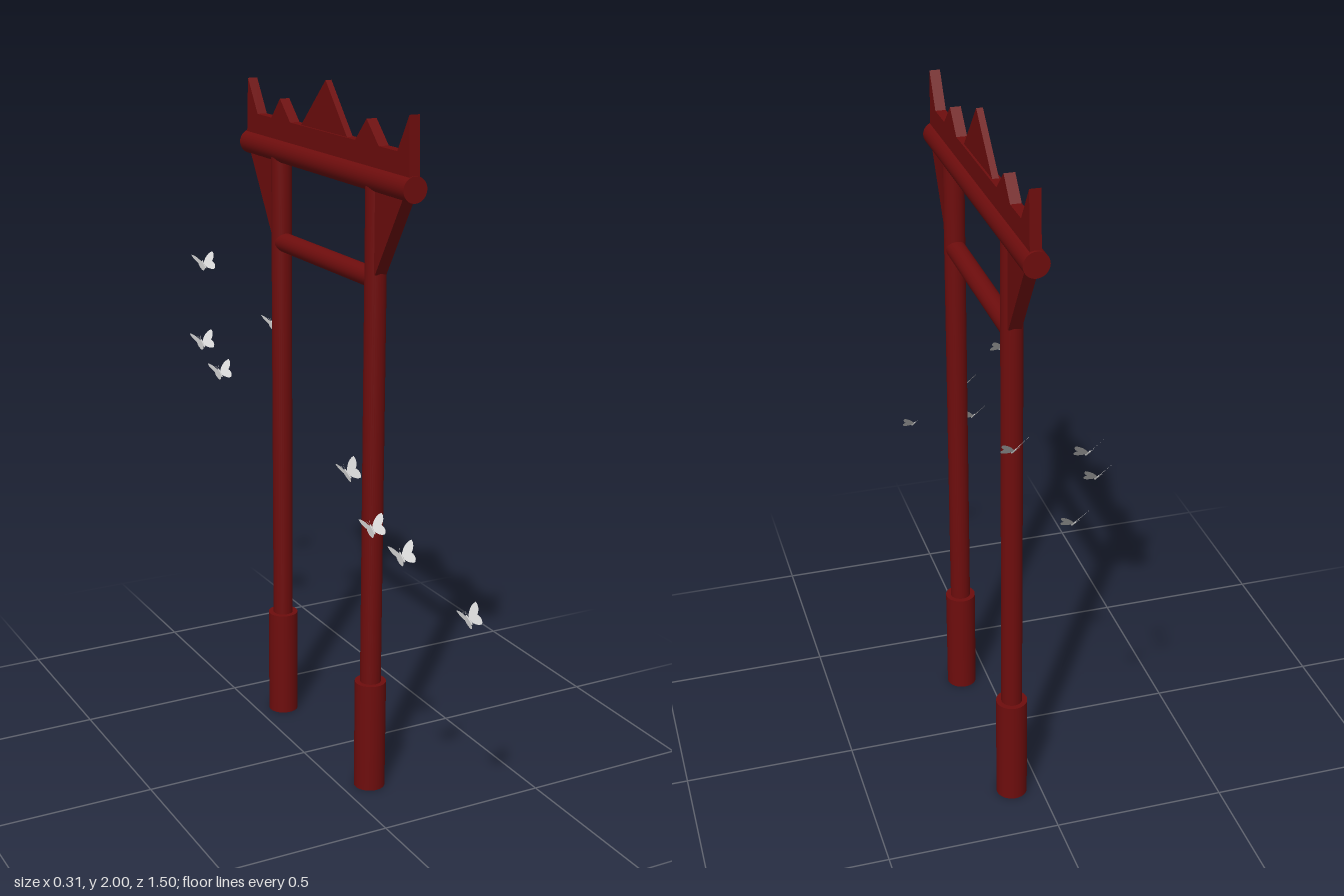
import * as THREE from 'three';

const CX = 0.083; // x of the gate's plane

export function createModel() {
  const model = new THREE.Group();
  model.name = 'gateWithButterflies';
  const red = new THREE.MeshStandardMaterial({ color: 0x6e0d0d });
  const grey = new THREE.MeshStandardMaterial({ color: 0xcccccc });
  const wingMat = new THREE.MeshStandardMaterial({ color: 0xcccccc, side: THREE.DoubleSide });

  const add = (parent, name, geometry, material) => {
    const mesh = new THREE.Mesh(geometry, material);
    mesh.name = name;
    parent.add(mesh);
    return mesh;
  };

  const gate = new THREE.Group();
  gate.name = 'gate';
  gate.position.x = CX;
  model.add(gate);

  // Upright cylinder between two heights
  const post = (name, r, y0, y1, z) =>
    add(gate, name, new THREE.CylinderGeometry(r, r, y1 - y0, 32), red).position.set(0, (y0 + y1) / 2, z);

  // Horizontal cylinder along z
  const bar = (name, r, y, z0, z1) =>
    add(gate, name, new THREE.CylinderGeometry(r, r, z1 - z0, 32).rotateX(Math.PI / 2), red)
      .position.set(0, y, (z0 + z1) / 2);

  // Flat plate from a (z, y) outline, centred on the gate's plane
  const plate = (name, points, thickness) => {
    const shape = new THREE.Shape(points.map(([z, y]) => new THREE.Vector2(z, y)));
    const g = new THREE.ExtrudeGeometry(shape, { depth: thickness, bevelEnabled: false });
    g.translate(0, 0, -thickness / 2).rotateY(-Math.PI / 2);
    add(gate, name, g, red);
  };

  // Pillars, footings and the angled brackets outside them
  for (const [z, side] of [[0.255, 1], [-0.308, -1]]) {
    post('pillar', 0.03, 0.3, 1.76, z);
    post('footing', 0.045, 0, 0.33, z);
    plate('bracket', [
      [z + side * 0.02, 1.75],
      [z + side * 0.172, 1.75],
      [z + side * 0.028, 1.52],
      [z + side * 0.02, 1.52],
    ], 0.036);
  }

  // Cross beams
  bar('topBeam', 0.035, 1.772, -0.515, 0.455);
  bar('lowerBeam', 0.028, 1.505, -0.3, 0.25);

  // Crest with end horns and side peaks, then the thinner central peak
  plate('crest', [
    [0.452, 1.78], [0.444, 1.96], [0.386, 1.862], [0.29, 1.862], [0.224, 1.925], [0.162, 1.862],
    [-0.222, 1.862], [-0.286, 1.922], [-0.342, 1.862], [-0.434, 1.862], [-0.498, 1.96], [-0.508, 1.78],
  ], 0.03);
  plate('centralPeak', [[0.106, 1.85], [0.106, 1.862], [-0.018, 2], [-0.164, 1.862], [-0.164, 1.85]], 0.018);

  // Butterfly wing outline: large forewing and smaller hindwing
  const wing = new THREE.Shape();
  wing.moveTo(0, 0.004);
  wing.bezierCurveTo(0.012, 0.022, 0.028, 0.034, 0.044, 0.033);
  wing.bezierCurveTo(0.046, 0.022, 0.038, 0.008, 0.028, 0.002);
  wing.bezierCurveTo(0.034, -0.008, 0.032, -0.02, 0.024, -0.026);
  wing.bezierCurveTo(0.014, -0.026, 0.004, -0.014, 0, -0.004);
  const wingGeo = new THREE.ShapeGeometry(wing, 6);
  const bodyGeo = new THREE.CapsuleGeometry(0.0022, 0.026, 3, 8);
  const feelerGeo = new THREE.CylinderGeometry(0.0004, 0.0004, 0.014, 4).translate(0, 0.007, 0);

  const makeButterfly = () => {
    const b = new THREE.Group();
    b.name = 'butterfly';
    add(b, 'body', bodyGeo, grey);
    for (const s of [1, -1]) {
      const w = add(b, s > 0 ? 'leftWing' : 'rightWing', wingGeo, wingMat);
      w.rotation.y = s > 0 ? -0.4 : Math.PI + 0.4; // wings raised in a shallow V
      const f = add(b, 'feeler', feelerGeo, grey);
      f.position.y = 0.014;
      f.rotation.z = -s * 0.4;
    }
    return b;
  };

  // Two loose flocks: x, y, z, turn
  const flock = [
    [0.017, 1.362, -0.726, 0.2], [0.114, 1.222, -0.43, 0.3],
    [-0.08, 1.165, -0.525, 0.2], [-0.01, 1.055, -0.553, 0.2],
    [-0.118, 1.055, 0.48, 0.45], [-0.01, 0.863, 0.422, 0.2],
    [-0.04, 0.863, 0.632, 0.2], [0.109, 0.695, 0.725, 0.35],
  ];
  for (const [x, y, z, turn] of flock) {
    const b = makeButterfly();
    b.position.set(x, y, z);
    b.rotation.set(-Math.PI / 4, turn, 0, 'YXZ');
    model.add(b);
  }

  return model;
}
